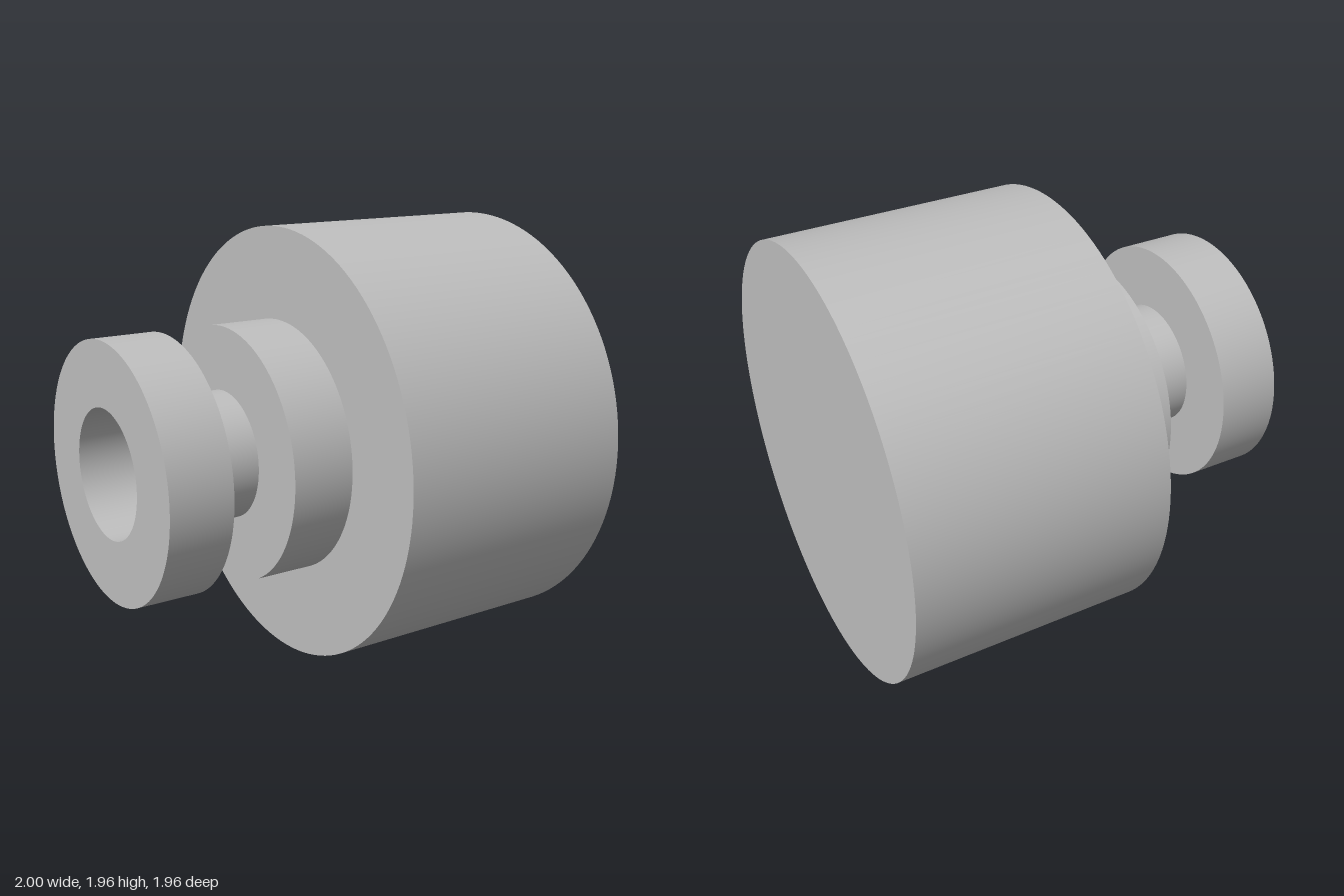
import * as THREE from 'three';
import { toCreasedNormals } from 'three/addons/utils/BufferGeometryUtils.js';

const SEGMENTS = 128;
const UNIT = 1 / 7;
const DRUM_RADIUS = 0.982;

export function createModel() {
  const model = new THREE.Group();
  model.name = 'steppedKnob';
  const grey = new THREE.MeshStandardMaterial({ color: 0xbfbfbf });
  grey.name = 'plain grey';

  // Turn a closed profile of [radius, x] points about the horizontal axis.
  function turned(name, profile) {
    const points = profile.map(([r, x]) => new THREE.Vector2(r, x));
    const geometry = toCreasedNormals(new THREE.LatheGeometry(points, SEGMENTS), 0.6);
    geometry.rotateZ(-Math.PI / 2);
    const mesh = new THREE.Mesh(geometry, grey);
    mesh.name = name;
    mesh.position.y = DRUM_RADIUS;
    model.add(mesh);
  }
  const disc = (name, r, x0, x1) => turned(name, [[0, x0], [r, x0], [r, x1], [0, x1]]);

  // Large solid drum, collar and narrow neck
  disc('drum', DRUM_RADIUS, -UNIT, 1);
  disc('collar', 4 * UNIT, -3 * UNIT, -UNIT);
  disc('neck', 2 * UNIT, -5 * UNIT, -3 * UNIT);

  // End flange, bored through to the end of the neck
  const inner = 2 * UNIT, outer = 4 * UNIT, x0 = -1, x1 = -5 * UNIT;
  turned('endFlange', [[inner, x0], [outer, x0], [outer, x1], [inner, x1], [inner, x0]]);

  return model;
}
